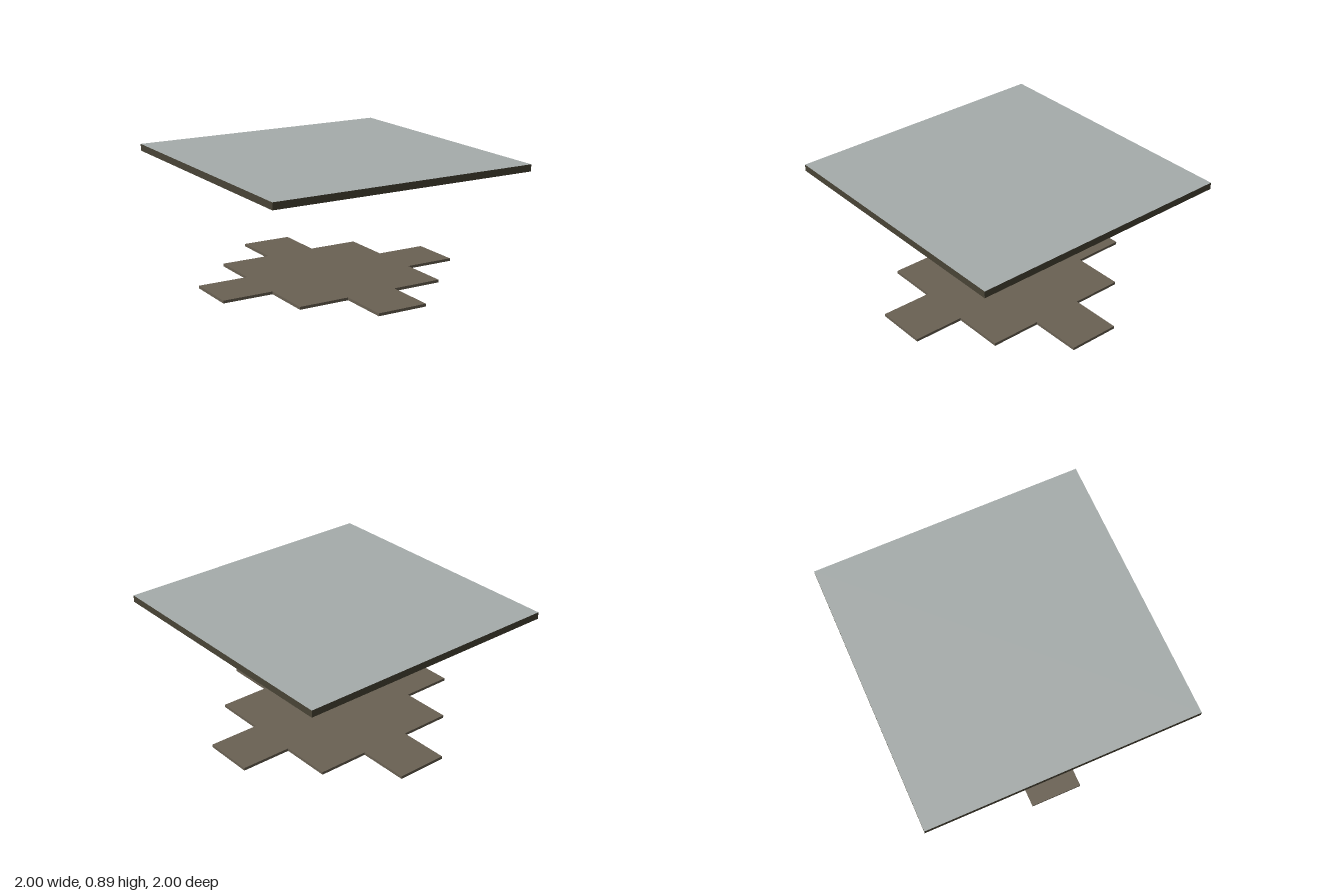
import * as THREE from 'three';

export function createModel() {
  const model = new THREE.Group();
  const mat = (name, color) => {
    const m = new THREE.MeshStandardMaterial({ color });
    m.name = name;
    return m;
  };
  const roofGrey = mat('roof grey', 0xa6acab);
  const darkOlive = mat('dark olive', 0x484436);
  const floorBrown = mat('floor brown', 0x6a6153);

  // Square roof slab with a pale top face
  const roof = new THREE.Mesh(
    new THREE.BoxGeometry(2, 0.05, 2),
    [darkOlive, darkOlive, roofGrey, darkOlive, darkOlive, darkOlive]
  );
  roof.name = 'roofSlab';
  roof.position.y = 0.864;
  model.add(roof);

  // Stepped diamond floor: one quarter of the outline, turned four times
  const cell = 0.377;
  const quarter = [[2.5, -0.5], [2.5, 0.5], [1.5, 0.5], [1.5, 1.5], [0.5, 1.5]];
  const outline = [];
  for (let k = 0; k < 4; k++) {
    for (const [x, y] of quarter) {
      outline.push(new THREE.Vector2(x * cell, y * cell)
        .rotateAround(new THREE.Vector2(), k * Math.PI / 2));
    }
  }
  const floorGeometry = new THREE.ExtrudeGeometry(new THREE.Shape(outline), {
    depth: 0.02, bevelEnabled: false
  });
  floorGeometry.rotateX(-Math.PI / 2);
  const floor = new THREE.Mesh(floorGeometry, floorBrown);
  floor.name = 'steppedFloor';
  model.add(floor);

  return model;
}
